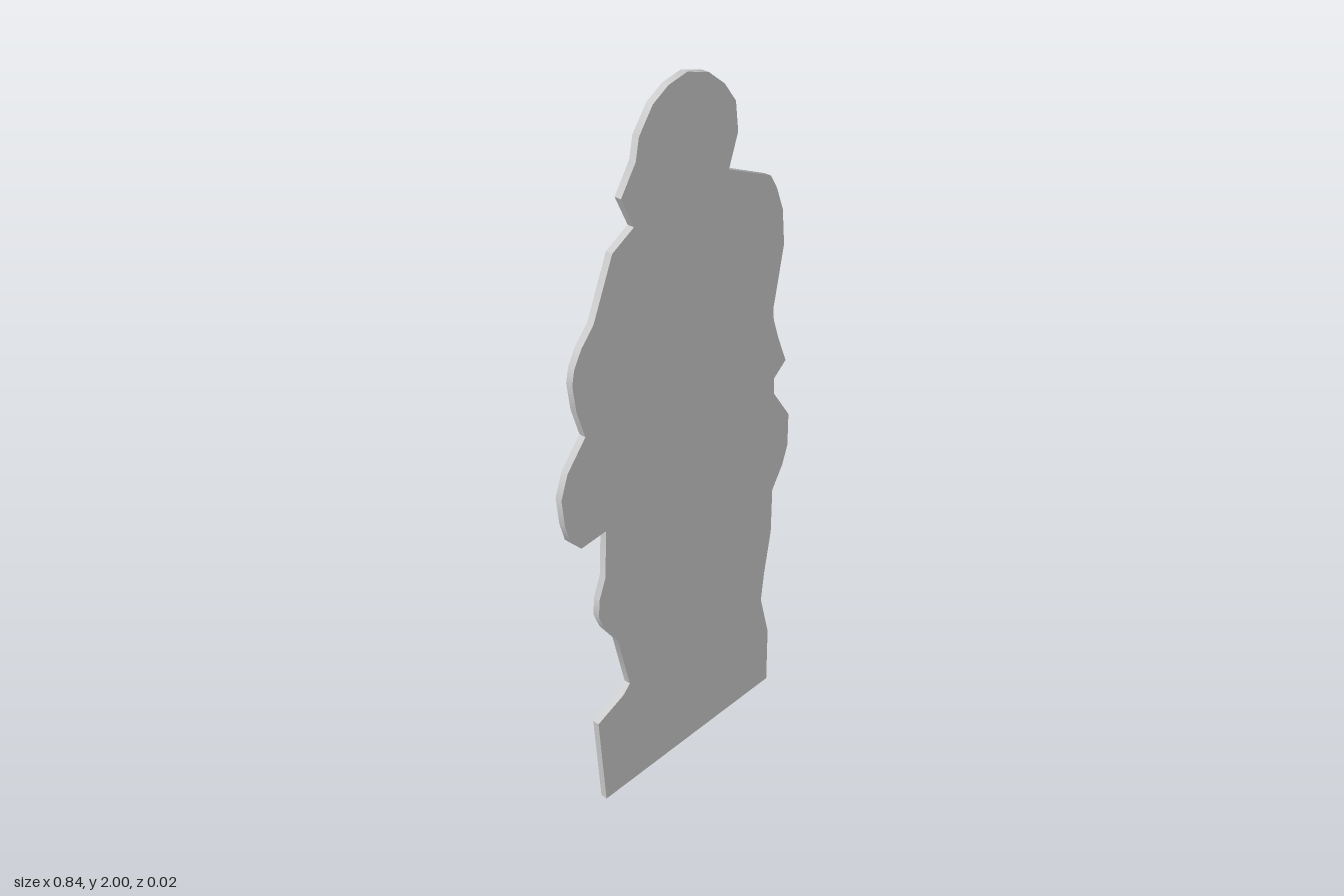
import * as THREE from 'three';
import { toCreasedNormals } from 'three/addons/utils/BufferGeometryUtils.js';

const THICKNESS = 0.02;

// Outline of the standing figure as [x, y], clockwise from the lower -x corner
const rightSide = [
  [-0.31, 0], [-0.33, 0.29], [-0.235, 0.33], [-0.21, 0.355],          // base and foot
  [-0.25, 0.53], [-0.295, 0.595], [-0.315, 0.645], [-0.31, 0.7],      // leg
  [-0.288, 0.757], [-0.28, 0.9],
  [-0.365, 0.893], [-0.4, 0.93], [-0.415, 0.985], [-0.423, 1.065],    // hand
  [-0.4, 1.13], [-0.338, 1.205],
  [-0.363, 1.285], [-0.373, 1.36], [-0.365, 1.4], [-0.34, 1.445],     // arm
  [-0.3, 1.49], [-0.235, 1.645], [-0.165, 1.685],                     // shoulder
];
const head = [
  [-0.204, 1.767], [-0.156, 1.84], [-0.145, 1.895], [-0.1, 1.957],
  [-0.05, 1.987], [0.01, 2], [0.08, 1.98], [0.135, 1.937],
  [0.175, 1.884], [0.185, 1.805], [0.155, 1.72],
];
const leftSide = [
  [0.31, 1.652], [0.335, 1.61], [0.36, 1.545], [0.37, 1.445],         // shoulder and arm
  [0.35, 1.34], [0.337, 1.275], [0.34, 1.24], [0.362, 1.175],
  [0.395, 1.095], [0.35, 1.058], [0.352, 1.01],                       // elbow notch
  [0.417, 0.915], [0.418, 0.815], [0.4, 0.76], [0.36, 0.693],         // hip
  [0.36, 0.55], [0.337, 0.413], [0.327, 0.323], [0.363, 0.185],       // leg
  [0.365, 0],
];

export function createModel() {
  const group = new THREE.Group();
  group.name = 'standingCutout';

  // Flat panel cut to the outline, centred on z = 0
  const outline = [...rightSide, ...head, ...leftSide].map(([x, y]) => new THREE.Vector2(x, y));
  const panel = new THREE.ExtrudeGeometry(new THREE.Shape(outline), {
    depth: THICKNESS,
    bevelEnabled: false,
  });
  panel.translate(0, 0, -THICKNESS / 2);

  // Soft rim around the curves, sharp at corners and faces
  const mesh = new THREE.Mesh(
    toCreasedNormals(panel, Math.PI / 5),
    new THREE.MeshStandardMaterial({ color: 0xcccccc })
  );
  mesh.name = 'figurePanel';
  group.add(mesh);
  return group;
}
